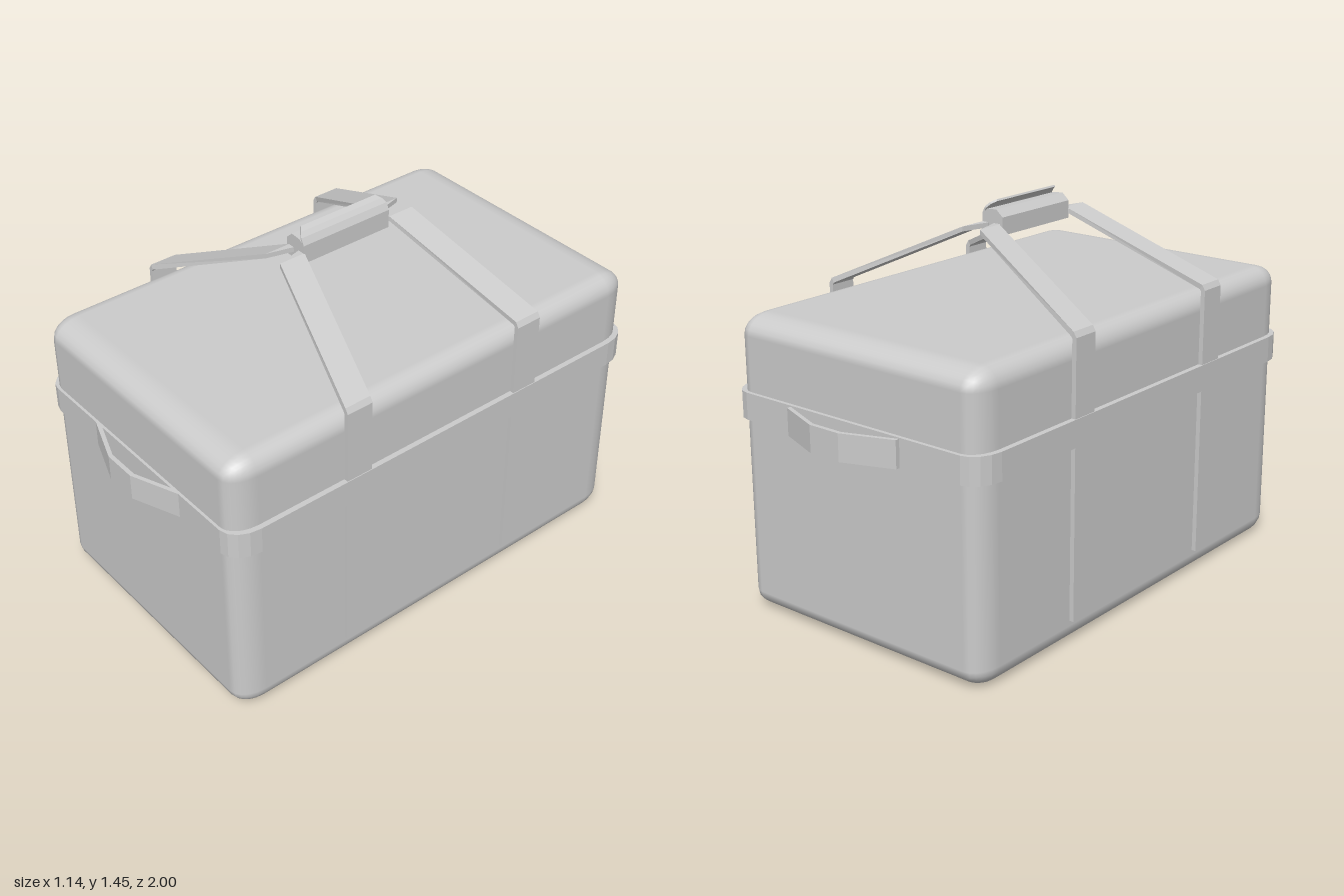
import * as THREE from 'three';
import { RoundedBoxGeometry } from 'three/addons/geometries/RoundedBoxGeometry.js';

const smooth = new THREE.MeshStandardMaterial({ color: 0xcccccc });
const flat = new THREE.MeshStandardMaterial({ color: 0xcccccc, flatShading: true, side: THREE.DoubleSide });
const MID_Z = 0.025; // mirror plane of the carrying straps

// Closed solid through a list of four-cornered cross-sections
function loft(rings) {
  const tris = [];
  const quad = (a, b, c, d) => tris.push([a, b, c], [a, c, d]);
  for (let i = 0; i < rings.length - 1; i++) {
    for (let k = 0; k < 4; k++) {
      const n = (k + 1) % 4;
      quad(rings[i][k], rings[i][n], rings[i + 1][n], rings[i + 1][k]);
    }
  }
  const last = rings[rings.length - 1];
  quad(...[...rings[0]].reverse());
  quad(...last);
  // Turn the faces outward if the sections run the other way round
  const v = (p) => new THREE.Vector3(...p);
  const volume = tris.reduce((s, [a, b, c]) => s + v(a).dot(v(b).cross(v(c))), 0);
  if (volume < 0) tris.forEach((t) => t.reverse());
  const g = new THREE.BufferGeometry();
  g.setAttribute('position', new THREE.Float32BufferAttribute(tris.flat(2), 3));
  g.computeVertexNormals();
  return g;
}

// Rounded rectangle with separate corner radii along each axis
function roundedRect(path, x, y, rx, ry, steps = 4) {
  const pts = [];
  for (let q = 0; q < 4; q++) {
    const sx = q === 0 || q === 3 ? 1 : -1;
    const sy = q < 2 ? 1 : -1;
    for (let i = 0; i <= steps; i++) {
      const a = (q + i / steps) * Math.PI / 2;
      pts.push(new THREE.Vector2(sx * (x - rx) + rx * Math.cos(a), sy * (y - ry) + ry * Math.sin(a)));
    }
  }
  return path.setFromPoints(pts);
}

export function createModel() {
  const model = new THREE.Group();
  model.name = 'carryBag';
  const add = (name, geometry, material = flat) => {
    const mesh = new THREE.Mesh(geometry, material);
    mesh.name = name;
    model.add(mesh);
    return mesh;
  };

  // Soft-cornered body, its rounding longer along z
  const stretch = 1.5;
  const body = new RoundedBoxGeometry(1.1, 1.1, 1.81 / stretch, 3, 0.07);
  body.scale(1, 1, stretch);
  add('body', body, smooth).position.set(0, 0.55, 0.015);

  // Band around the middle
  const ring = roundedRect(new THREE.Shape(), 0.57, 0.917, 0.08, 0.11);
  ring.holes.push(roundedRect(new THREE.Path(), 0.548, 0.9, 0.068, 0.1));
  const band = new THREE.ExtrudeGeometry(ring, { depth: 0.1, bevelEnabled: false });
  band.rotateX(-Math.PI / 2);
  add('band', band).position.set(0, 0.73, 0.013);

  // Bowed pull handles on the front and back ends
  const bow = [[-0.24, 0], [-0.05, 0.07], [0.08, 0.07], [0.26, 0]];
  for (const [name, side, z] of [['frontPull', 1, 0.93], ['backPull', -1, 0.93 - 0.002]]) {
    add(name, loft(bow.map(([x, d]) => {
      const outer = side * (z + d);
      const inner = side * (z + d - 0.016);
      return [[x, 0.73, outer], [x, 0.83, outer], [x, 0.83, inner], [x, 0.73, inner]];
    })));
  }

  // Straps: up each side, sloping to the middle, then turning into the grip
  // outer x, y, inner x, y, near z, far z
  const run = [
    [0.567, 0.09, 0.545, 0.09, 0.355, 0.46],
    [0.567, 1.11, 0.55, 1.105, 0.355, 0.46],
    [0.555, 1.13, 0.545, 1.113, 0.355, 0.46],
    [0.04, 1.37, 0.04, 1.352, 0.215, 0.32],
    [0.012, 1.37, 0.012, 1.352, 0.1, 0.215],
  ];
  for (const sx of [1, -1]) {
    for (const front of [true, false]) {
      const zOf = (z) => (front ? z : 2 * MID_Z - z);
      const rings = run.map(([ox, oy, ix, iy, z0, z1]) => [
        [sx * ox, oy, zOf(z0)], [sx * ox, oy, zOf(z1)],
        [sx * ix, iy, zOf(z1)], [sx * ix, iy, zOf(z0)],
      ]);
      add(`${front ? 'front' : 'back'}${sx > 0 ? 'Left' : 'Right'}Strap`, loft(rings));
    }
  }

  // Wrapped grip joining the straps
  const profile = new THREE.Shape([
    [-0.05, 1.33], [0.043, 1.33], [0.043, 1.4], [0.02, 1.417], [-0.022, 1.42], [-0.05, 1.395],
  ].map((p) => new THREE.Vector2(...p)));
  const grip = new THREE.ExtrudeGeometry(profile, { depth: 0.38, bevelEnabled: false });
  add('grip', grip).position.z = MID_Z + 0.005 - 0.19;

  // Loose edge of the wrap curling up over the grip
  const curl = [[0.043, 1.4, 0.19], [0.03, 1.425, 0.19], [0.015, 1.44, 0.18], [-0.003, 1.45, 0.165]];
  add('gripFlap', loft(curl.map(([x, y, h]) => {
    const c = MID_Z + 0.005;
    return [[x, y, c - h], [x, y, c + h], [x - 0.004, y - 0.006, c + h], [x - 0.004, y - 0.006, c - h]];
  })));

  return model;
}
